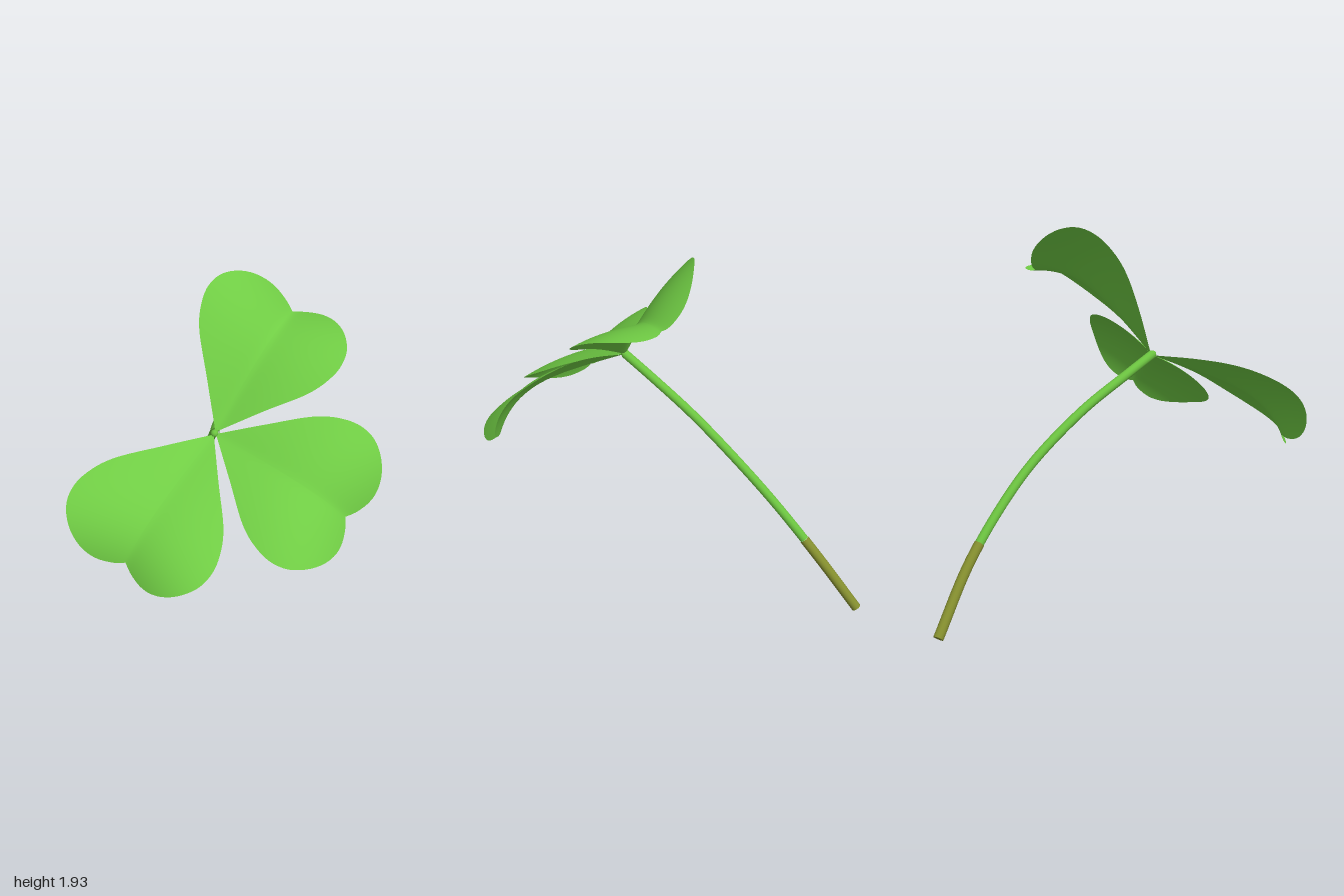
import * as THREE from 'three';

const V = (x, y, z) => new THREE.Vector3(x, y, z);
const HUB = V(-0.11, 1.26, 0.26);
const LENGTH = 0.78; // midrib length before scaling

// Half heart outline: (along midrib, sideways)
const outline = new THREE.CatmullRomCurve3([
  [0, 0], [0.2, 0.168], [0.4, 0.335], [0.5, 0.385], [0.6, 0.407], [0.7, 0.388],
  [0.79, 0.315], [0.835, 0.23], [0.842, 0.145], [0.812, 0.052], [LENGTH, 0],
].map(([u, s]) => V(u, s, 0)), false, 'centripetal');

// One half of a leaflet, swept from the midrib to the outline
function halfLeaf(side, { arch, fold, tilt, lift, scale }) {
  const rows = 48, cols = 24;
  const geo = new THREE.PlaneGeometry(1, 1, cols, rows);
  const pos = geo.attributes.position;
  for (let i = 0; i <= rows; i++) {
    const edge = outline.getPointAt(i / rows);
    const rib = (i / rows) * LENGTH;
    for (let j = 0; j <= cols; j++) {
      const k = j / cols;
      const u = rib + (edge.x - rib) * k;
      const s = edge.y * k;
      const t = u / LENGTH;
      // arched midrib, softened V fold that deepens to the tip, rounded lobes
      const v = Math.hypot(s, 0.025) - 0.025;
      const h = arch * t * (1 - t ** 3) + lift * t * t + side * tilt * s
        + v * (fold + 0.22 * t ** 4 + 0.5 * (0.4 - s));
      pos.setXYZ(i * (cols + 1) + j, u * scale, h, -side * s * scale);
    }
  }
  if (side < 0) { // mirrored half needs its corners reversed
    const index = geo.index.array;
    for (let i = 0; i < index.length; i += 3) {
      [index[i + 1], index[i + 2]] = [index[i + 2], index[i + 1]];
    }
  }
  geo.computeVertexNormals();
  return geo;
}

export function createModel() {
  const model = new THREE.Group();
  model.name = 'clover';
  const leafMat = new THREE.MeshStandardMaterial({ color: 0x70cc44, side: THREE.DoubleSide });
  leafMat.name = 'leaf green';
  const stemMat = new THREE.MeshStandardMaterial({ color: 0x6cc440 });
  stemMat.name = 'stem green';
  const baseMat = new THREE.MeshStandardMaterial({ color: 0x86902f });
  baseMat.name = 'stem olive';

  const add = (parent, name, geo, mat) => {
    const mesh = new THREE.Mesh(geo, mat);
    mesh.name = name;
    parent.add(mesh);
    return mesh;
  };

  // Three leaflets share one plane, a quarter turn apart
  const up = V(0.181, 0.752, 0.633).normalize();
  const leaflets = [
    { name: 'backLeaflet', tip: V(0.28, 0.577, -0.765), arch: 0.2, fold: 0.23, tilt: 0.08, lift: 0, scale: 0.955 },
    { name: 'leftLeaflet', tip: V(0.936, -0.333, 0.128), arch: 0.22, fold: 0, tilt: 0, lift: 0, scale: 1 },
    { name: 'frontLeaflet', tip: V(-0.289, -0.521, 0.803), arch: 0.22, fold: 0.06, tilt: 0.03, lift: 0.05, scale: 1.01 },
  ];
  for (const spec of leaflets) {
    const leaf = new THREE.Group();
    leaf.name = spec.name;
    const along = spec.tip.clone().addScaledVector(up, -spec.tip.dot(up)).normalize();
    const across = along.clone().cross(up);
    leaf.quaternion.setFromRotationMatrix(new THREE.Matrix4().makeBasis(along, up, across));
    leaf.position.copy(HUB).addScaledVector(along, 0.008);
    add(leaf, 'leafHalfA', halfLeaf(1, spec), leafMat);
    add(leaf, 'leafHalfB', halfLeaf(-1, spec), leafMat);
    model.add(leaf);
  }

  // Curved stem, olive towards its foot
  const path = new THREE.CatmullRomCurve3([
    HUB, V(-0.17, 1.165, 0.1), V(-0.26, 1.01, -0.15), V(-0.372, 0.785, -0.43),
    V(-0.465, 0.595, -0.61), V(-0.587, 0.335, -0.805), V(-0.738, 0.022, -0.982),
  ]);
  const pts = path.getSpacedPoints(60);
  const split = pts.findIndex((p) => p.y < 0.44);
  const tube = (list, r) =>
    new THREE.TubeGeometry(new THREE.CatmullRomCurve3(list), list.length, r, 14);
  add(model, 'stem', tube(pts.slice(0, split + 1), 0.024), stemMat);
  add(model, 'stemFoot', tube(pts.slice(split), 0.026), baseMat);
  const cap = add(model, 'stemEnd', new THREE.CircleGeometry(0.026, 14), baseMat);
  cap.position.copy(pts[60]);
  cap.quaternion.setFromUnitVectors(V(0, 0, 1), path.getTangentAt(1));

  // Small knot where the leaflets meet
  add(model, 'hub', new THREE.SphereGeometry(0.02, 14, 10), stemMat).position.copy(HUB);
  return model;
}
